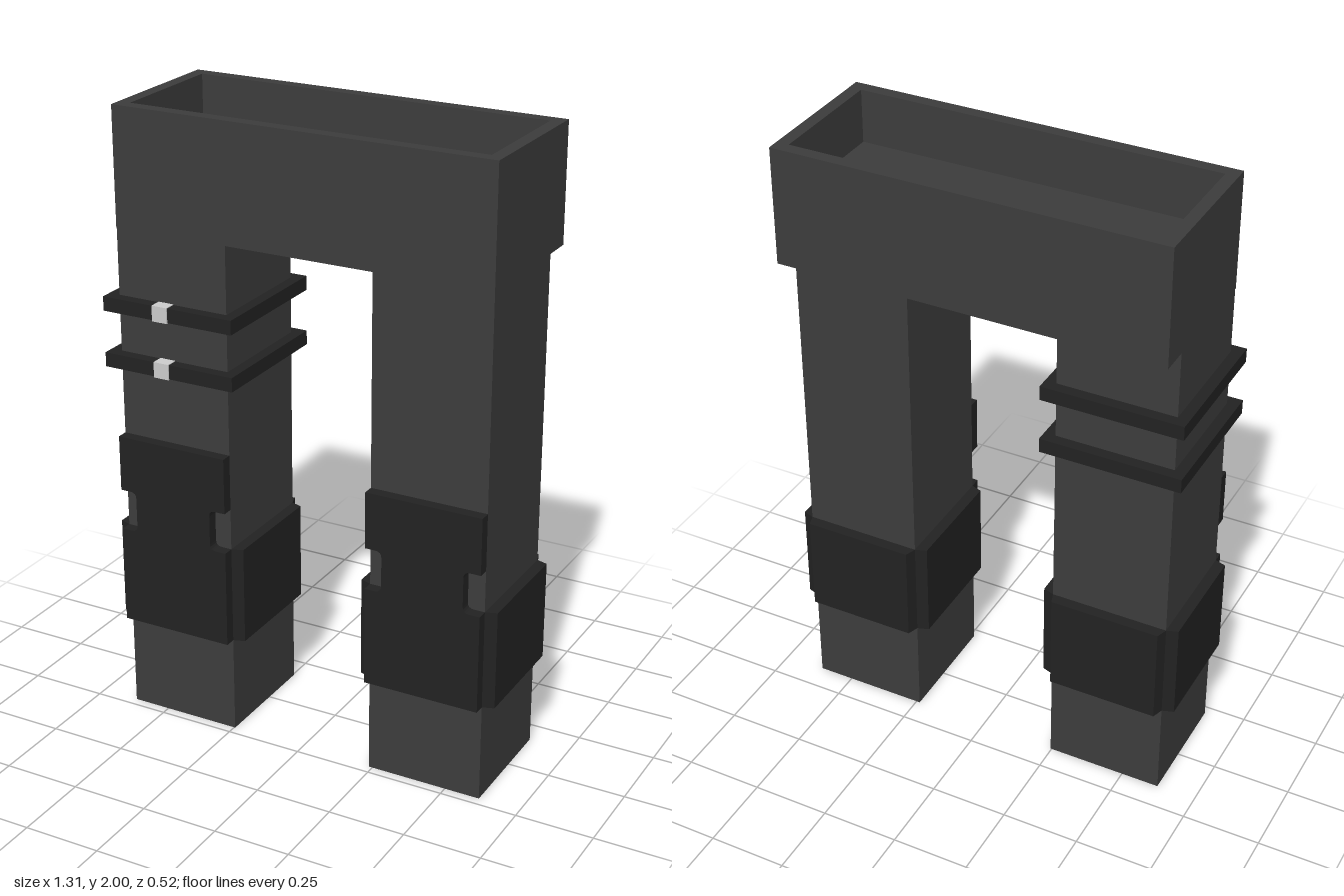
import * as THREE from 'three';

const paint = (name, color) => {
  const m = new THREE.MeshStandardMaterial({ color });
  m.name = name;
  return m;
};

// Closed shape from [x, y] corners
const polygon = (points) => new THREE.Shape(points.map(([x, y]) => new THREE.Vector2(x, y)));

const rectangle = (w, d) => polygon([
  [-w / 2, -d / 2], [w / 2, -d / 2], [w / 2, d / 2], [-w / 2, d / 2],
]);

// Extrudes a ground-plan shape upwards from y0 to y1
function extrudeUp(shape, y0, y1) {
  const geo = new THREE.ExtrudeGeometry(shape, { depth: y1 - y0, bevelEnabled: false });
  return geo.rotateX(-Math.PI / 2).translate(0, y0, 0);
}

// Rectangular tube with a given wall thickness
function tube(w, d, wall, y0, y1) {
  const shape = rectangle(w, d);
  shape.holes.push(rectangle(w - 2 * wall, d - 2 * wall));
  return extrudeUp(shape, y0, y1);
}

function add(parent, name, geometry, material, x = 0, y = 0, z = 0) {
  const mesh = new THREE.Mesh(geometry, material);
  mesh.name = name;
  mesh.position.set(x, y, z);
  parent.add(mesh);
  return mesh;
}

const LEG_W = 0.377, LEG_D = 0.385, LEG_Z = 0.0275;
const WALL = 0.04, PAD = 0.036;

// Knee plate outline with a rounded notch on either side
function kneePlateShape() {
  const h = LEG_W / 2, n = h - 0.055, r = 0.02;
  const s = new THREE.Shape();
  s.moveTo(-h, 0.32);
  s.lineTo(h, 0.32);
  s.lineTo(h, 0.64);
  s.lineTo(n + r, 0.64);
  s.quadraticCurveTo(n, 0.64, n, 0.64 + r);
  s.lineTo(n, 0.775 - r);
  s.quadraticCurveTo(n, 0.775, n + r, 0.775);
  s.lineTo(h, 0.775);
  s.lineTo(h, 0.957);
  s.lineTo(-h, 0.957);
  s.lineTo(-h, 0.775);
  s.lineTo(-n - r, 0.775);
  s.quadraticCurveTo(-n, 0.775, -n, 0.775 - r);
  s.lineTo(-n, 0.64 + r);
  s.quadraticCurveTo(-n, 0.64, -n - r, 0.64);
  s.lineTo(-h, 0.64);
  return s;
}

// Strap panel with tapered ends, standing out towards +z
function strapPanel(width) {
  const h = width / 2;
  return extrudeUp(polygon([[-h, 0], [-h + 0.012, -PAD], [h - 0.012, -PAD], [h, 0]]), 0.32, 0.64);
}

function makeLeg(name, x, mats) {
  const leg = new THREE.Group();
  leg.name = name;
  leg.position.set(x, 0, LEG_Z);

  // Leg, open at the hem
  add(leg, 'hem', tube(LEG_W, LEG_D, WALL, 0, 0.4), mats.cloth);
  add(leg, 'legTube', new THREE.BoxGeometry(LEG_W, 1.225, LEG_D), mats.cloth, 0, 1.0125, 0);

  // Knee plate
  const plate = new THREE.ExtrudeGeometry(kneePlateShape(), { depth: PAD, bevelEnabled: false, curveSegments: 4 });
  add(leg, 'kneePlate', plate, mats.pad, 0, 0, LEG_D / 2);

  // Straps on both sides and the back
  for (const side of [-1, 1]) {
    const strap = add(leg, 'sideStrap', strapPanel(LEG_D), mats.pad, side * LEG_W / 2, 0, 0);
    strap.rotation.y = side * Math.PI / 2;
  }
  const back = add(leg, 'backStrap', strapPanel(LEG_W), mats.pad, 0, 0, -LEG_D / 2);
  back.rotation.y = Math.PI;
  return leg;
}

export function createModel() {
  const mats = {
    cloth: paint('charcoal cloth', 0x3c3c3c),
    pad: paint('black padding', 0x222222),
    metal: paint('light metal', 0xcccccc),
  };
  const model = new THREE.Group();
  model.name = 'trousers';

  // Hips with an open waist
  const hips = new THREE.Group();
  hips.name = 'hips';
  hips.position.set(-0.005, 0, -0.02);
  add(hips, 'waistRim', tube(1.24, 0.48, WALL, 1.83, 2), mats.cloth);
  add(hips, 'hipBlock', new THREE.BoxGeometry(1.24, 0.205, 0.48), mats.cloth, 0, 1.7275, 0);
  model.add(hips);

  const rightLeg = makeLeg('rightLeg', -0.435, mats);
  const leftLeg = makeLeg('leftLeg', 0.4265, mats);
  model.add(rightLeg, leftLeg);

  // Two thigh belts with buckles on the right leg
  for (const y of [1.207, 1.388]) {
    add(rightLeg, 'thighBelt',
      tube(LEG_W + 2 * PAD, LEG_D + 2 * PAD, PAD, y - 0.023, y + 0.023), mats.pad);
    add(rightLeg, 'buckle', new THREE.BoxGeometry(0.052, 0.05, 0.042), mats.metal,
      -0.022, y, LEG_D / 2 + 0.019);
  }
  return model;
}
